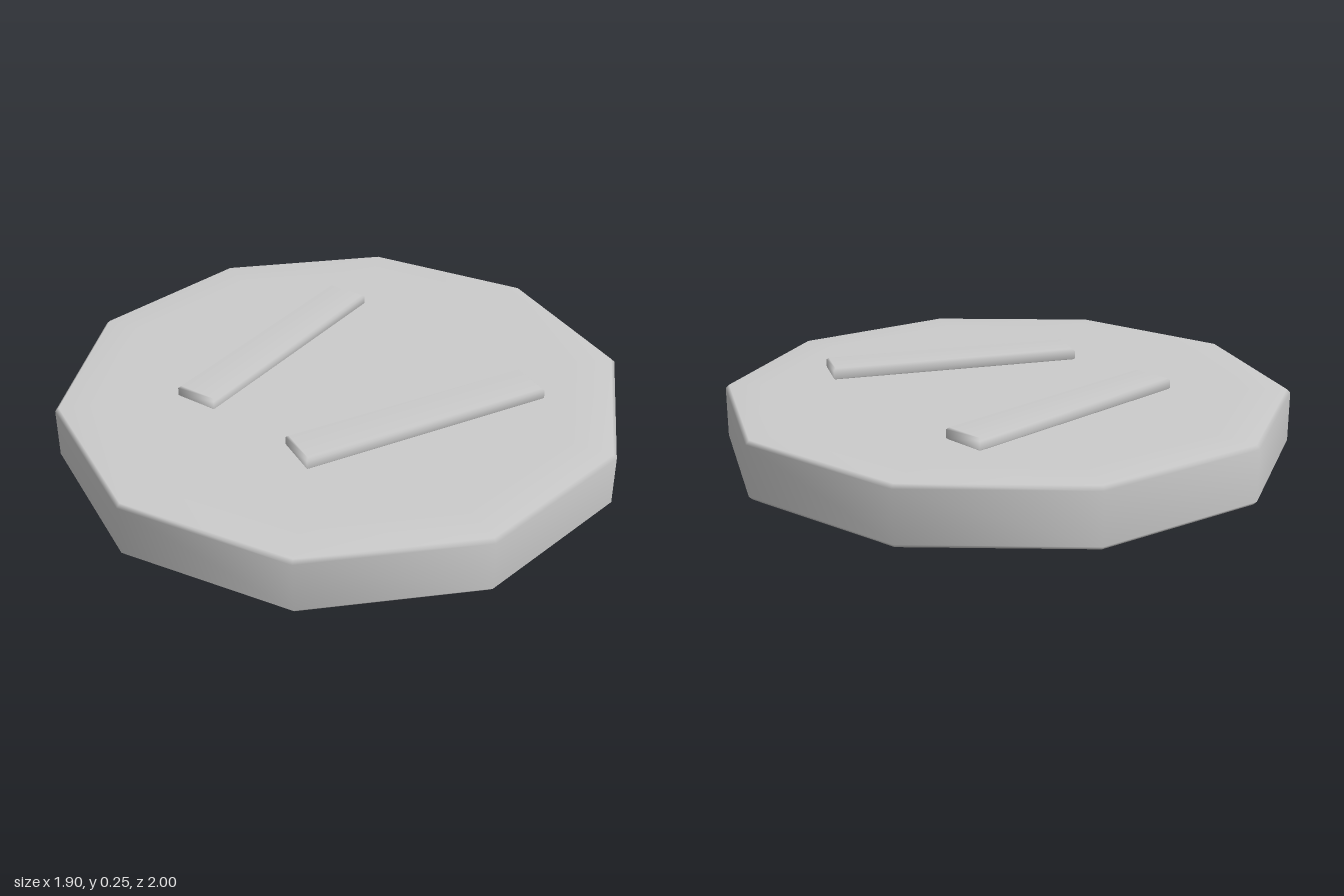
import * as THREE from 'three';
import { mergeVertices } from 'three/addons/utils/BufferGeometryUtils.js';

const material = new THREE.MeshStandardMaterial({ color: 0xcccccc });

// Box with chamfered top and bottom rims and smooth normals
function bevelledBar(width, height, length, bevel) {
  let geo = new THREE.BoxGeometry(width, height, length, 1, 3, 1);
  const pos = geo.attributes.position;
  for (let i = 0; i < pos.count; i++) {
    const x = pos.getX(i), y = pos.getY(i), z = pos.getZ(i);
    const rim = Math.abs(y) > height * 0.4;
    if (rim) {
      pos.setX(i, x - Math.sign(x) * bevel);
      pos.setZ(i, z - Math.sign(z) * bevel);
    } else {
      pos.setY(i, Math.sign(y) * (height / 2 - bevel));
    }
  }
  geo.deleteAttribute('normal');
  geo.deleteAttribute('uv');
  geo = mergeVertices(geo);
  geo.computeVertexNormals();
  return geo;
}

export function createModel() {
  const model = new THREE.Group();
  model.name = 'discWithBars';

  // Ten-sided disc: flat caps, broad shaded border, thin rim bevel
  const top = 0.205, bevel = 0.013;
  const profile = [
    [0, 0], [0.84, 0], [1 - bevel, 0.003], [1, 0.003 + bevel],
    [1, top - bevel], [1 - bevel, top], [0.84, top], [0, top],
  ].map(([r, y]) => new THREE.Vector2(r, y));
  const disc = new THREE.Mesh(new THREE.LatheGeometry(profile, 10), material);
  disc.name = 'disc';
  model.add(disc);

  // Two slanted raised bars
  const barGeo = bevelledBar(0.158, 0.044, 0.915, 0.008);
  for (const [name, x, turn] of [['rightBar', -0.344, 0.168], ['leftBar', 0.354, -0.314]]) {
    const bar = new THREE.Mesh(barGeo, material);
    bar.name = name;
    bar.position.set(x, 0.223, -0.004);
    bar.rotation.y = turn;
    model.add(bar);
  }
  return model;
}
